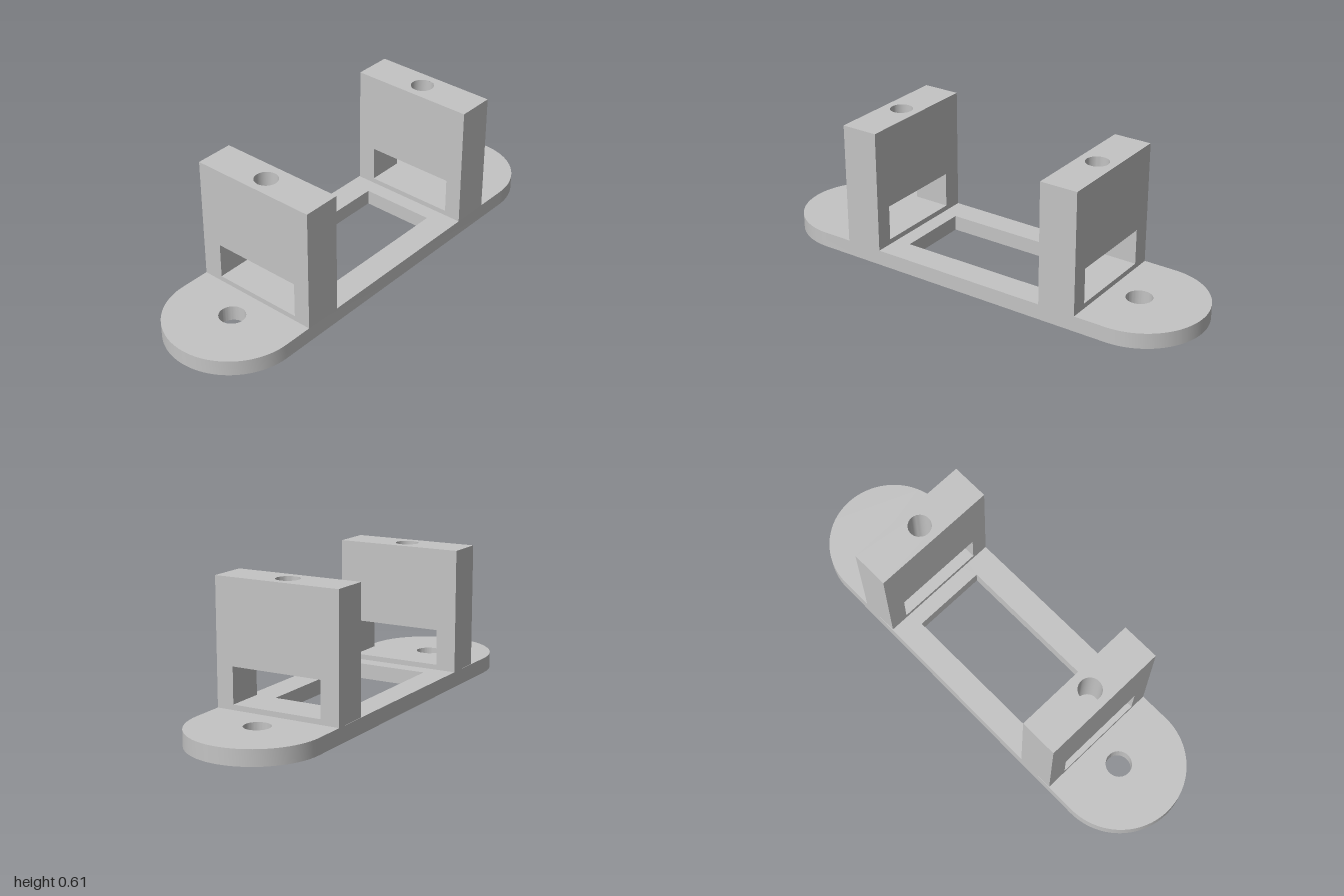
import * as THREE from 'three';
import { mergeGeometries, toCreasedNormals } from 'three/addons/utils/BufferGeometryUtils.js';

const PLATE_TOP = 0.068, TOP = 0.61, FRONT = 0.288;

// Rectangle as a Shape or a Path
function rect(Kind, x0, y0, x1, y1) {
  return new Kind([[x0, y0], [x1, y0], [x1, y1], [x0, y1]].map(([x, y]) => new THREE.Vector2(x, y)));
}

function circle(x, y, r) {
  return new THREE.Path().absarc(x, y, r, 0, Math.PI * 2, true);
}

// Positions only, optionally without the triangles that lie wholly at the given heights
function bare(geometry, dropHeights = []) {
  const g = geometry.index ? geometry.toNonIndexed() : geometry;
  const p = g.attributes.position.array, kept = [];
  for (let i = 0; i < p.length; i += 9) {
    const flat = dropHeights.some(h => [1, 4, 7].every(k => Math.abs(p[i + k] - h) < 1e-4));
    if (!flat) kept.push(...p.slice(i, i + 9));
  }
  return new THREE.BufferGeometry().setAttribute('position', new THREE.Float32BufferAttribute(kept, 3));
}

// Base plate with rounded ends, centre opening and two screw holes
function plateGeometry() {
  const s = new THREE.Shape();
  s.absarc(0.7165, -0.0045, 0.2835, -Math.PI / 2, Math.PI / 2, false);
  s.absarc(-0.712, 0, 0.288, Math.PI / 2, Math.PI * 1.5, false);
  s.closePath();
  s.holes.push(
    rect(THREE.Path, -0.34, -0.166, 0.336, 0.17),
    circle(-0.714, 0.003, 0.056),
    circle(0.709, -0.006, 0.056));
  const g = new THREE.ExtrudeGeometry(s, { depth: PLATE_TOP, bevelEnabled: false, curveSegments: 32 });
  return toCreasedNormals(bare(g.rotateX(-Math.PI / 2)), 0.6);
}

// Upright block with a window through it and a blind hole in its top
function postGeometry(x0, x1, back, holeX) {
  const r = 0.05, depth = 0.22, holeZ = 0.001;
  const side = rect(THREE.Shape, -FRONT, PLATE_TOP, -back, TOP);
  side.holes.push(rect(THREE.Path, -0.212, 0.091, 0.196, 0.248));
  const body = new THREE.ExtrudeGeometry(side, { depth: x1 - x0, bevelEnabled: false })
    .rotateY(Math.PI / 2).translate(x0, 0, 0);

  const lid = rect(THREE.Shape, x0, -FRONT, x1, -back);
  lid.holes.push(circle(holeX, -holeZ, r));
  const top = new THREE.ShapeGeometry(lid, 32).rotateX(-Math.PI / 2).translate(0, TOP, 0);

  // Mirrored so that the wall faces inward
  const wall = new THREE.CylinderGeometry(r, r, depth, 32, 1, true)
    .scale(-1, 1, 1).translate(holeX, TOP - depth / 2, holeZ);
  const floor = new THREE.CircleGeometry(r, 32).rotateX(-Math.PI / 2).translate(holeX, TOP - depth, holeZ);

  return toCreasedNormals(mergeGeometries(
    [bare(body, [TOP, PLATE_TOP]), bare(top), bare(wall), bare(floor)]), 0.6);
}

export function createModel() {
  const grey = new THREE.MeshStandardMaterial({ color: 0xc4c4c4 });
  grey.name = 'light grey';
  const model = new THREE.Group();
  model.name = 'mountingBracket';
  const add = (name, geometry) => {
    const mesh = new THREE.Mesh(geometry, grey);
    mesh.name = name;
    model.add(mesh);
  };
  add('basePlate', plateGeometry());
  add('rightPost', postGeometry(-0.578, -0.41, -0.286, -0.495));
  add('leftPost', postGeometry(0.405, 0.573, -0.279, 0.489));
  return model;
}
